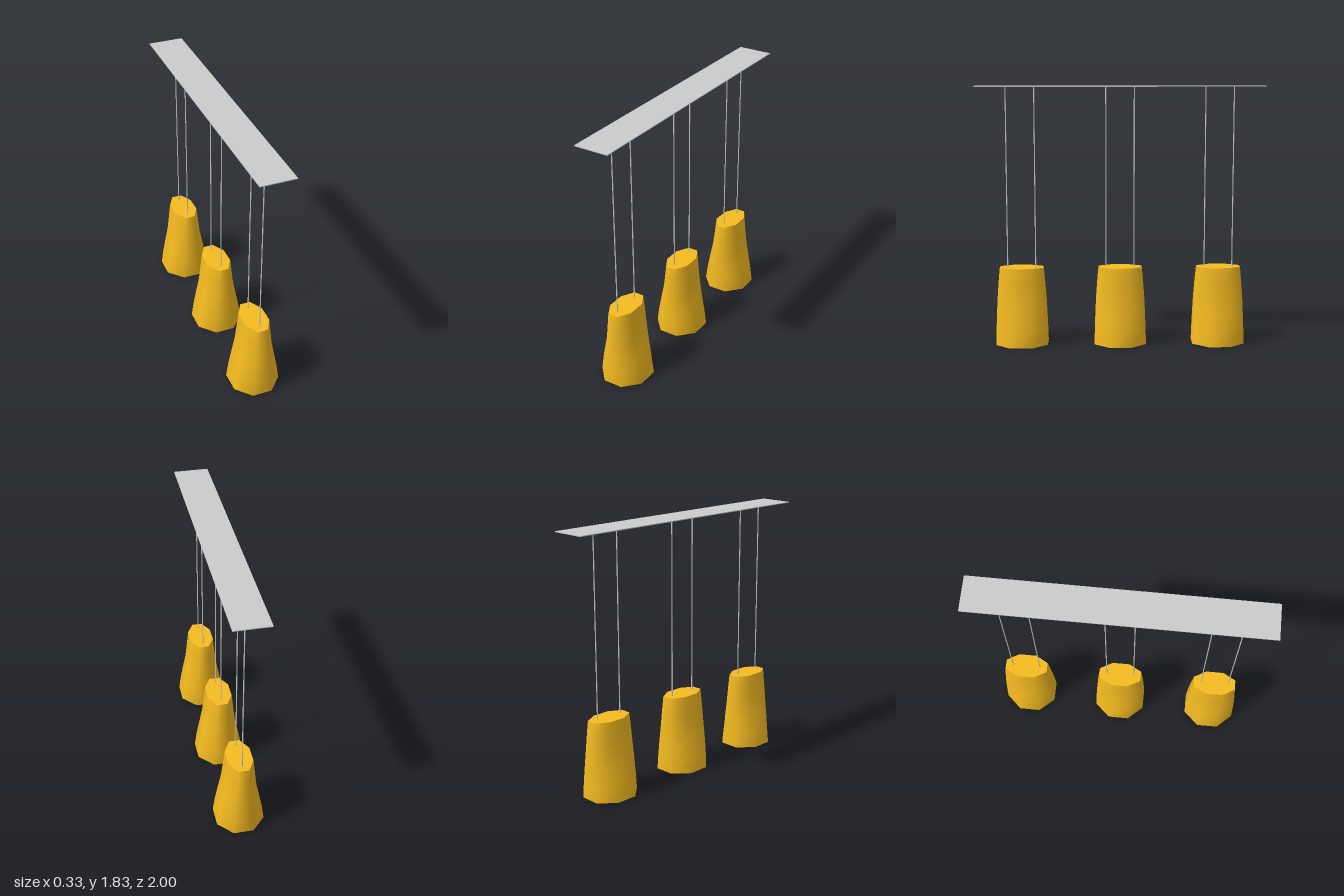
import * as THREE from 'three';
import { toCreasedNormals } from 'three/addons/utils/BufferGeometryUtils.js';

const SIDES = 8;
const CORNER = 1 / Math.cos(Math.PI / SIDES);
const WALL = 0.016;

// Shade sections from top to bottom: [height, half width in x, half width in z]
const SECTIONS = [
  [0.55, 0.086, 0.153],
  [0.44, 0.097, 0.163],
  [0.33, 0.109, 0.171],
  [0.22, 0.131, 0.176],
  [0.11, 0.152, 0.18],
  [0, 0.167, 0.183],
];
const INNER = SECTIONS.map(([y, hx, hz], i) => [i === 0 ? y - WALL : y, hx - WALL, hz - WALL]);

const grey = new THREE.MeshStandardMaterial({ color: 0xcccccc });
const yellow = new THREE.MeshStandardMaterial({ color: 0xf5bb20 });

// Eight-sided tube whose rings follow the given sections
function loft(sections, inward) {
  const rows = sections.length - 1;
  const geo = new THREE.CylinderGeometry(CORNER, CORNER, 1, SIDES, rows, true, Math.PI / SIDES);
  const pos = geo.attributes.position;
  for (let i = 0; i < pos.count; i++) {
    const [y, hx, hz] = sections[Math.round((0.5 - pos.getY(i)) * rows)];
    pos.setXYZ(i, pos.getX(i) * hx, y, pos.getZ(i) * hz);
  }
  if (inward) geo.index.array.reverse();
  return toCreasedNormals(geo, 1.2);
}

// Outline of one section as a list of points
function outline([, hx, hz]) {
  return Array.from({ length: SIDES }, (_, k) => {
    const a = ((k + 0.5) * 2 * Math.PI) / SIDES;
    return new THREE.Vector2(Math.cos(a) * CORNER * hx, Math.sin(a) * CORNER * hz);
  });
}

// Flat face on a section, facing up (1) or down (-1)
function flat(section, facing, hole) {
  const shape = new THREE.Shape(outline(section));
  if (hole) shape.holes.push(new THREE.Path(outline(hole)));
  return new THREE.ShapeGeometry(shape).rotateX((-facing * Math.PI) / 2).translate(0, section[0], 0);
}

function add(parent, name, geometry, material) {
  const mesh = new THREE.Mesh(geometry, material);
  mesh.name = name;
  parent.add(mesh);
  return mesh;
}

export function createModel() {
  const model = new THREE.Group();
  model.name = 'pendantLamp';

  // Ceiling plate
  add(model, 'ceilingPlate', new THREE.BoxGeometry(0.245, 0.006, 2), grey).position.y = 1.822;

  const bottom = SECTIONS.length - 1;
  const cordGeometry = new THREE.CylinderGeometry(0.004, 0.004, 1.272, 8);
  const parts = [
    ['shadeOuter', loft(SECTIONS, false), yellow],
    ['shadeTop', flat(SECTIONS[0], 1), yellow],
    ['shadeInner', loft(INNER, true), grey],
    ['shadeInnerTop', flat(INNER[0], -1), grey],
    ['shadeRim', flat(SECTIONS[bottom], -1, INNER[bottom]), grey],
  ];

  // Three pendants, each with a hollow shade on two cords
  for (const z of [-0.697, 0, 0.697]) {
    const pendant = new THREE.Group();
    pendant.name = 'pendant';
    pendant.position.z = z;
    for (const part of parts) add(pendant, ...part);
    for (const side of [-1, 1]) {
      add(pendant, 'cord', cordGeometry, grey).position.set(0, 1.184, side * 0.099);
    }
    model.add(pendant);
  }
  return model;
}
